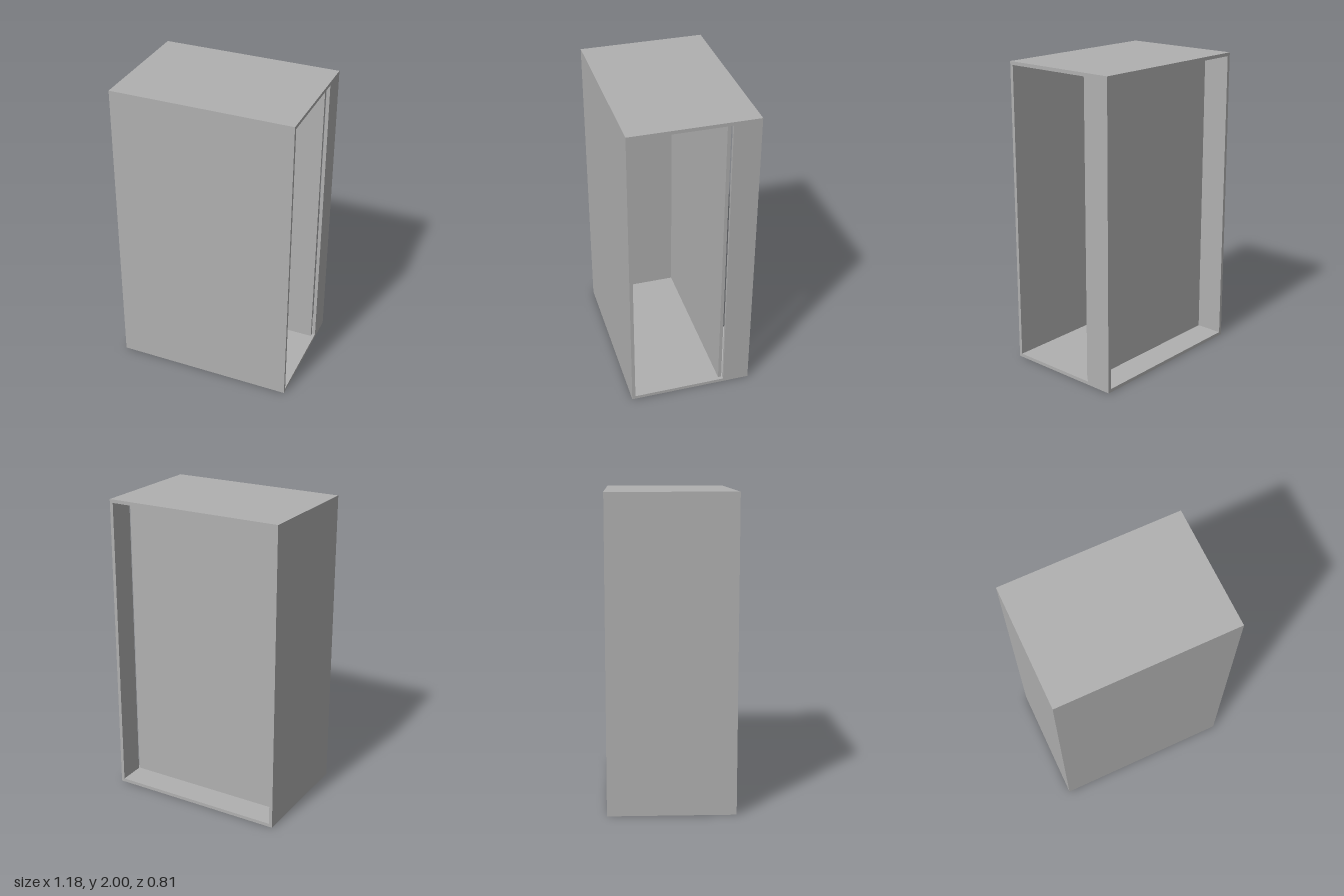
import * as THREE from 'three';

// Upright cabinet: open at the back, side opening on +x, inset rear panel.
export function createModel() {
  const model = new THREE.Group();
  model.name = 'cabinet';
  const grey = new THREE.MeshStandardMaterial({ color: 0xb0b0b0 });
  grey.name = 'grey';

  const X = 0.592, H = 2, Z = 0.405, T = 0.022; // half width, height, half depth, board thickness
  const openingBack = -0.23; // rear edge of the side opening
  const panelFront = -0.201;

  // Board spanning two opposite corners
  function board(name, x0, x1, y0, y1, z0, z1) {
    const mesh = new THREE.Mesh(new THREE.BoxGeometry(x1 - x0, y1 - y0, z1 - z0), grey);
    mesh.position.set((x0 + x1) / 2, (y0 + y1) / 2, (z0 + z1) / 2);
    mesh.name = name;
    model.add(mesh);
  }

  board('bottomBoard', -X, X, 0, T, -Z, Z);
  board('topBoard', -X, X, H - T, H, -Z, Z);
  board('frontBoard', -X, X, T, H - T, Z - T, Z);
  board('closedSide', -X, -X + T, T, H - T, -Z, Z - T);
  board('openSideStrip', X - T, X, T, H - T, -Z, openingBack);
  // Inner panel set forward of the open back
  board('innerPanel', -X + T, X - T, T, H - T, panelFront - T, panelFront);

  return model;
}
